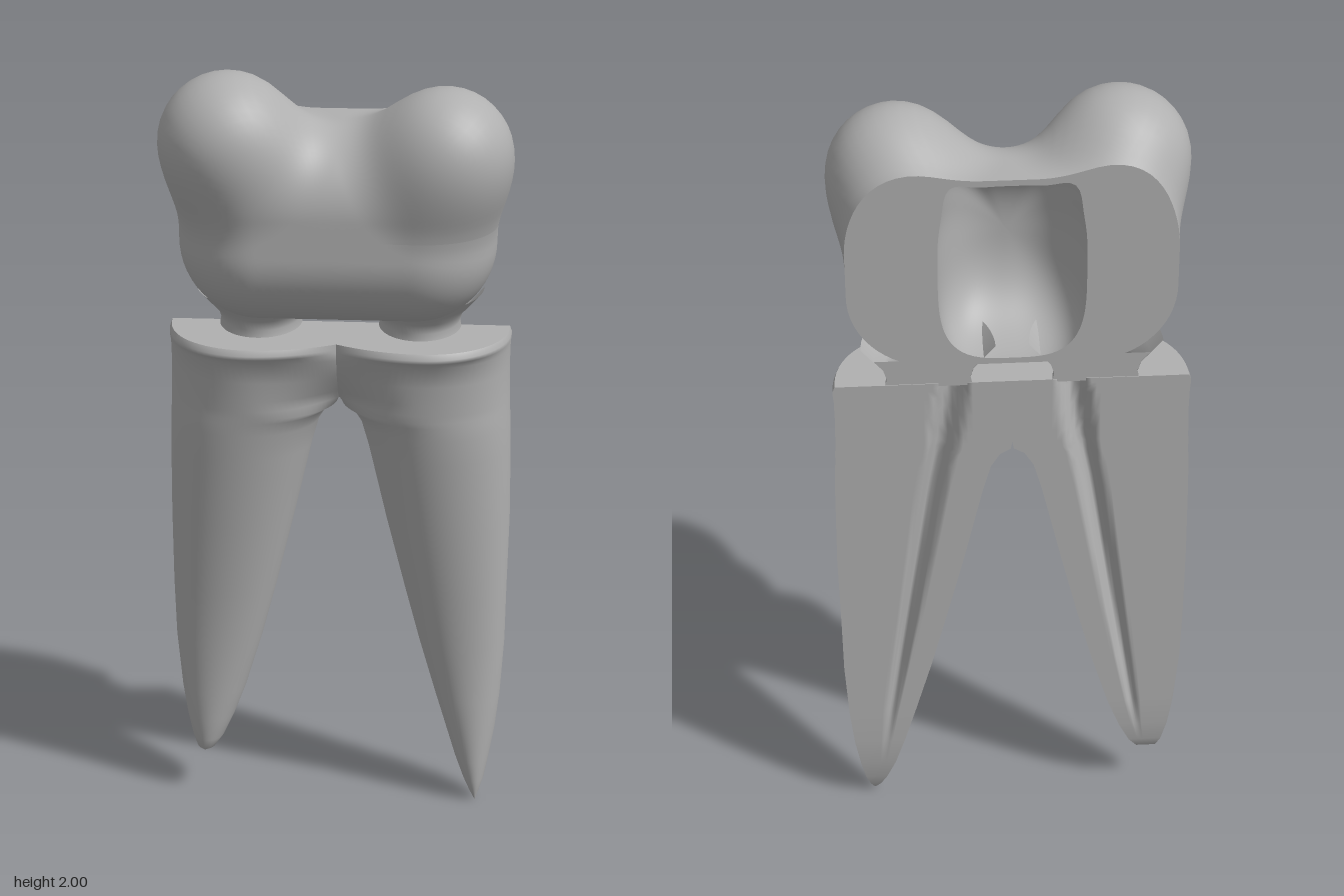
import * as THREE from 'three';

const BACK = -0.17; // plane of the cut face
const CENTER = new THREE.Vector3(0, 1.62, BACK);
const { clamp, lerp, smoothstep } = THREE.MathUtils;

// Surface through rows of points
function grid(rows, flip = false) {
  const n = rows[0].length, pos = [], idx = [];
  rows.forEach(r => r.forEach(p => pos.push(p.x, p.y, p.z)));
  for (let i = 0; i < rows.length - 1; i++) {
    for (let j = 0; j < n - 1; j++) {
      const a = i * n + j, b = a + 1, c = a + n, d = c + 1;
      if (flip) idx.push(a, b, c, b, d, c);
      else idx.push(a, c, b, b, c, d);
    }
  }
  const g = new THREE.BufferGeometry();
  g.setAttribute('position', new THREE.Float32BufferAttribute(pos, 3));
  g.setIndex(idx);
  g.computeVertexNormals();
  return g;
}

// Smooth blend of a rounded block and two cusps
function smin(a, b, k) {
  const h = Math.max(k - Math.abs(a - b), 0) / k;
  return Math.min(a, b) - h * h * k * 0.25;
}
const CUSPS = [[new THREE.Vector3(-0.26, 1.83, 0), 0.17], [new THREE.Vector3(0.262, 1.805, 0), 0.165]];
function crownDistance(p) {
  const r = 0.2;
  const q = [Math.abs(p.x) - 0.39 + r, Math.abs(p.y - 1.62) - 0.25 + r, Math.abs(p.z - BACK) - 0.3 + r];
  let d = Math.hypot(...q.map(v => Math.max(v, 0))) + Math.min(Math.max(...q), 0) - r;
  for (const [c, rad] of CUSPS) d = smin(d, p.distanceTo(c) - rad, 0.1);
  return d;
}
const direction = (t, f) => new THREE.Vector3(Math.cos(t) * Math.cos(f), Math.sin(t) * Math.cos(f), Math.sin(f));
function crownRadius(dir) {
  let r = 0.85;
  for (let i = 0; i < 60; i++) r -= crownDistance(dir.clone().multiplyScalar(r).add(CENTER));
  return r;
}
// Outline of the hollow, with two horns at the top
function hollowRadius(t) {
  const e = 3.4;
  const base = (Math.abs(Math.cos(t) / 0.175) ** e + Math.abs(Math.sin(t) / 0.235) ** e) ** (-1 / e);
  const horn = Math.sin(t) > 0 ? Math.exp(-(((Math.abs(Math.cos(t)) - 0.53) / 0.14) ** 2)) : 0;
  return Math.min(base * (1 + 0.12 * horn), 0.96 * crownRadius(direction(t, 0)));
}

function crownParts() {
  const N = 112, M = 36, outer = [], hollow = [], face = [];
  const angle = j => (j / N) * Math.PI * 2;
  const ring = fn => Array.from({ length: N + 1 }, (_, j) => fn(angle(j % N)));
  for (let i = 0; i <= M; i++) {
    const f = (i / M) * Math.PI / 2;
    outer.push(ring(t => {
      const d = direction(t, f);
      return d.multiplyScalar(crownRadius(d)).add(CENTER);
    }));
    hollow.push(ring(t => {
      const k = hollowRadius(t) * Math.cos(f) ** 0.8;
      return new THREE.Vector3(Math.cos(t) * k, Math.sin(t) * k, 0.2 * Math.sin(f)).add(CENTER);
    }));
  }
  face.push(outer[0], hollow[0]);
  return { outer: grid(outer, true), hollow: grid(hollow), face: grid(face) };
}

// Root sections: y, inner x, outer x, front z, back z
const SHORT_ROOT = [
  [1.318, 0, 0.425, 0.06, BACK], [1.305, 0, 0.43, 0.07, BACK], [1.295, 0, 0.43, 0.068, BACK],
  [1.275, 0, 0.428, 0.04, BACK], [1.22, 0, 0.427, 0.03, BACK], [1.17, 0, 0.428, 0.024, BACK],
  [1.14, 0, 0.429, 0.02, BACK], [1.12, 0.004, 0.43, 0.018, BACK], [1.105, 0.03, 0.43, 0.015, BACK],
  [1.07, 0.052, 0.432, 0.01, BACK], [1.0, 0.072, 0.434, 0, BACK], [0.8, 0.118, 0.436, -0.03, BACK],
  [0.6, 0.166, 0.435, -0.057, BACK], [0.45, 0.205, 0.431, -0.075, BACK], [0.3, 0.25, 0.418, -0.085, BACK],
  [0.22, 0.28, 0.406, -0.09, -0.168], [0.16, 0.308, 0.392, -0.097, -0.16], [0.13, 0.33, 0.38, -0.107, -0.15],
  [0.118, 0.358, 0.36, -0.125, -0.127],
];
const LONG_ROOT = SHORT_ROOT.slice(0, 12).concat([
  [0.6, 0.168, 0.432, -0.057, BACK], [0.45, 0.207, 0.43, -0.077, BACK], [0.3, 0.25, 0.421, -0.083, BACK],
  [0.2, 0.28, 0.41, -0.087, BACK], [0.12, 0.305, 0.396, -0.093, -0.163], [0.06, 0.328, 0.384, -0.1, -0.15],
  [0.025, 0.345, 0.372, -0.11, -0.138], [0, 0.36, 0.362, -0.12, -0.122],
]);

function rootParts(sections, side) {
  const N = 36, front = [], back = [];
  for (const [y, xi, xo, zf, zb] of sections) {
    // The web between the roots rises out of the fork
    const web = y > 1.12 ? 0.17 * smoothstep(y, 1.04, 1.28) : 0;
    const depth = zf - zb, canalX = lerp(0.34, 0.14, clamp((y - 0.15) / 1.17, 0, 1));
    const canalW = lerp(0.012, 0.034, clamp((y - 0.2) / 1.1, 0, 1));
    const canalD = 0.05 * clamp((y - 0.22) / 0.4, 0, 1);
    const f = [], b = [];
    for (let i = 0; i <= N; i++) {
      const t = (i / N) * Math.PI, s = Math.sin(t);
      const x = (xi + xo) / 2 - Math.cos(t) * (xo - xi) / 2;
      const h = i < N / 2 && web ? web + (depth - web) * s * s : depth * s ** 0.9;
      f.push(new THREE.Vector3(side * x, y, zb + h));
      const bx = lerp(xi, xo, i / N);
      const groove = canalD * Math.max(0, 1 - ((bx - canalX) / canalW) ** 2);
      b.push(new THREE.Vector3(side * bx, y, Math.min(zb + groove, zb + depth * 0.7)));
    }
    front.push(f);
    back.push(b);
  }
  // Flat shelf on top, with the canal mouth left open
  const loop = front[0].concat(back[0].slice().reverse());
  const shelf = new THREE.ShapeGeometry(new THREE.Shape(loop.map(p => new THREE.Vector2(p.x, -p.z))));
  shelf.rotateX(-Math.PI / 2).translate(0, sections[0][0], 0);
  return { front: grid(front, side < 0), back: grid(back, side > 0), shelf };
}

export function createModel() {
  const grey = new THREE.MeshStandardMaterial({ color: 0xb0b0b0, side: THREE.DoubleSide });
  grey.name = 'plain grey';
  const model = new THREE.Group();
  model.name = 'toothSection';
  const add = (parent, name, geometry) => {
    const m = new THREE.Mesh(geometry, grey);
    m.name = name;
    parent.add(m);
    return m;
  };

  // Crown with its hollow
  const crown = new THREE.Group();
  crown.name = 'crown';
  model.add(crown);
  const c = crownParts();
  add(crown, 'crownSurface', c.outer);
  add(crown, 'pulpChamber', c.hollow);
  add(crown, 'crownCutFace', c.face);

  for (const side of [-1, 1]) {
    const label = side < 0 ? 'right' : 'left';

    // Neck joining the crown to the shelf
    const profile = [[0.105, 1.31], [0.1, 1.335], [0.108, 1.36], [0.13, 1.385], [0.16, 1.42]]
      .map(p => new THREE.Vector2(...p));
    const neck = new THREE.LatheGeometry(profile, 32, -Math.PI / 2, Math.PI);
    neck.scale(1, 1, 1.3).translate(side * 0.2, 0, BACK);
    add(crown, label + 'Neck', neck);
    const low = profile.slice(0, 4);
    const outline = low.map(p => new THREE.Vector2(p.x, p.y))
      .concat(low.map(p => new THREE.Vector2(-p.x, p.y)).reverse());
    const plate = new THREE.ShapeGeometry(new THREE.Shape(outline));
    plate.rotateY(Math.PI).translate(side * 0.2, 0, BACK + 0.002);
    add(crown, label + 'NeckCutFace', plate);

    // Root with rim, cut face and canal
    const root = new THREE.Group();
    root.name = label + 'Root';
    model.add(root);
    const r = rootParts(side < 0 ? SHORT_ROOT : LONG_ROOT, side);
    add(root, label + 'RootSurface', r.front);
    add(root, label + 'RootCutFace', r.back);
    add(root, label + 'Shelf', r.shelf);
  }
  return model;
}
